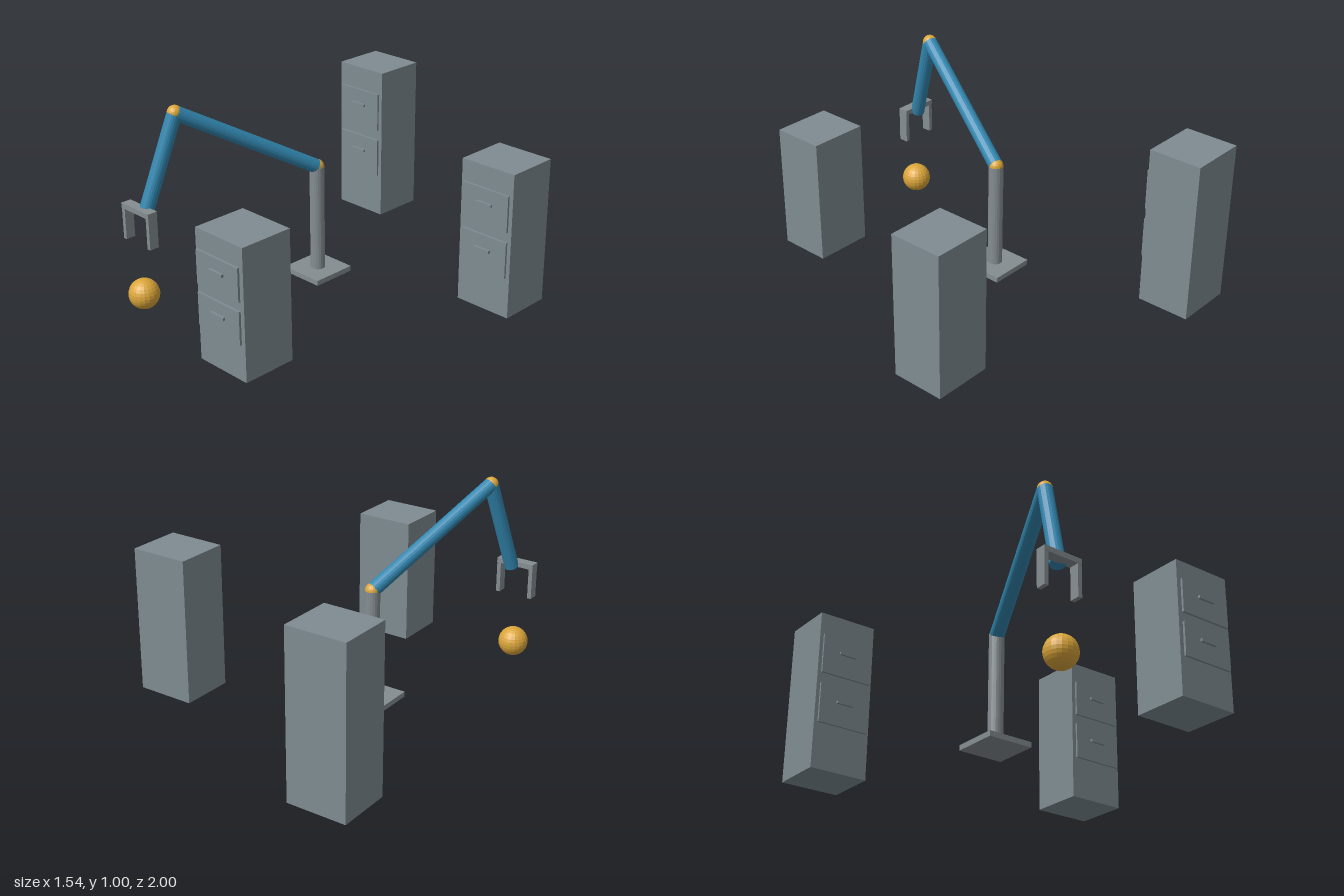
import * as THREE from 'three';

const mat = (name, color, flatShading = false) => {
  const m = new THREE.MeshStandardMaterial({ color, flatShading });
  m.name = name;
  return m;
};

export function createModel() {
  const model = new THREE.Group();
  model.name = 'robotArmWithCabinets';
  const cabinetGrey = mat('cabinet grey', 0x7f8c92);
  const metalGrey = mat('metal grey', 0x858d91, true);
  const blue = mat('arm blue', 0x3287b0, true);
  const gold = mat('joint gold', 0xdba63a, true);

  const add = (parent, name, geometry, material, x, y, z) => {
    const mesh = new THREE.Mesh(geometry, material);
    mesh.name = name;
    mesh.position.set(x, y, z);
    parent.add(mesh);
    return mesh;
  };
  const box = (parent, name, material, w, h, d, x, y, z) =>
    add(parent, name, new THREE.BoxGeometry(w, h, d), material, x, y, z);
  const ball = (parent, name, r, p) =>
    add(parent, name, new THREE.SphereGeometry(r, 20, 14), gold, p.x, p.y, p.z);

  // Cylinder running between two points
  const limb = (parent, name, material, a, b, r) => {
    const dir = b.clone().sub(a);
    const mid = a.clone().add(b).multiplyScalar(0.5);
    const mesh = add(parent, name, new THREE.CylinderGeometry(r, r, dir.length(), 20), material, mid.x, mid.y, mid.z);
    mesh.quaternion.setFromUnitVectors(new THREE.Vector3(0, 1, 0), dir.normalize());
  };

  // Filing cabinets: x centre, z of front face, height
  for (const [x, front, h] of [[-0.622, -0.727, 0.82], [0.167, 0.972, 0.65], [0.618, -0.273, 0.735]]) {
    const cabinet = new THREE.Group();
    cabinet.name = 'cabinet';
    cabinet.position.set(x, 0, front);
    model.add(cabinet);
    box(cabinet, 'cabinetBody', cabinetGrey, 0.303, h, 0.274, 0, h / 2, -0.137);
    for (const level of [0.41, 0.73]) {
      box(cabinet, 'drawerFront', cabinetGrey, 0.27, h * 0.25, 0.011, 0, h * level, 0.0105);
      box(cabinet, 'drawerHandle', cabinetGrey, 0.088, 0.014, 0.012, 0, h * (level + 0.024), 0.022);
    }
  }

  // Arm: base, column, two limbs and their joints
  const arm = new THREE.Group();
  arm.name = 'robotArm';
  model.add(arm);
  const foot = new THREE.Vector3(-0.228, 0.02, 0);
  const shoulder = new THREE.Vector3(-0.228, 0.574, 0);
  const elbow = new THREE.Vector3(-0.471, 0.967, 0.669);
  const wrist = new THREE.Vector3(-0.528, 0.502, 0.822);
  box(arm, 'base', metalGrey, 0.235, 0.027, 0.235, -0.228, 0.0135, 0);
  limb(arm, 'column', metalGrey, foot, shoulder, 0.037);
  limb(arm, 'upperArm', blue, shoulder, elbow, 0.036);
  limb(arm, 'forearm', blue, elbow, wrist, 0.036);
  ball(arm, 'shoulderJoint', 0.0365, shoulder);
  ball(arm, 'elbowJoint', 0.0365, elbow);

  // Gripper: palm bar with two fingers
  const gripper = new THREE.Group();
  gripper.name = 'gripper';
  gripper.position.set(-0.543, 0, 0.851);
  arm.add(gripper);
  box(gripper, 'palm', metalGrey, 0.2, 0.026, 0.054, 0, 0.517, 0);
  for (const side of [-1, 1]) {
    box(gripper, 'finger', metalGrey, 0.021, 0.158, 0.05, side * 0.0895, 0.426, 0);
  }

  // Ball on the floor below the gripper
  ball(model, 'ball', 0.076, new THREE.Vector3(-0.542, 0.079, 0.855));
  return model;
}
